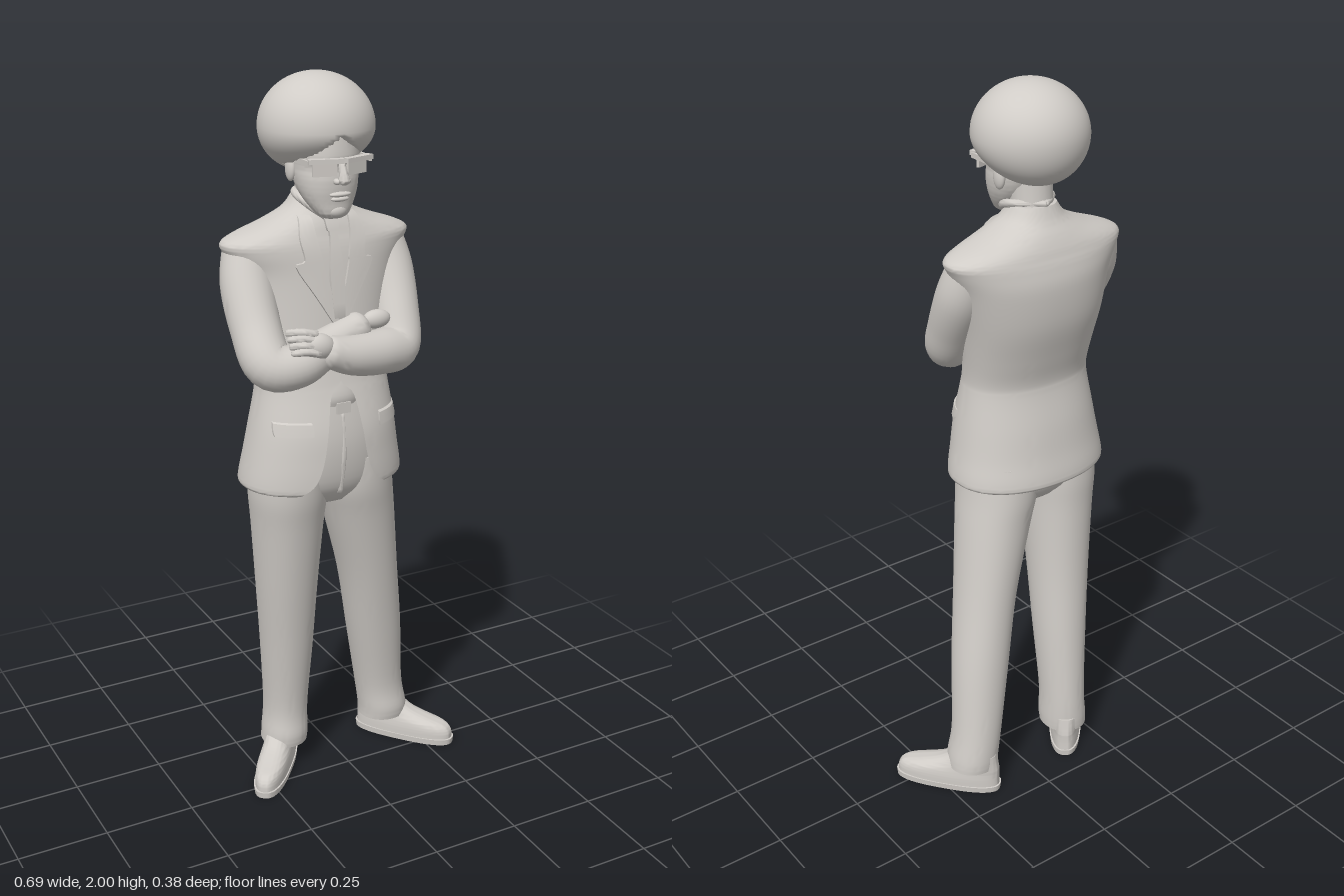
import * as THREE from 'three';
import { mergeVertices, toCreasedNormals } from 'three/addons/utils/BufferGeometryUtils.js';

const clay = new THREE.MeshStandardMaterial({ color: 0xd0ccc7, side: THREE.DoubleSide });
clay.name = 'warm grey clay';
const CX = -0.073; // centre line of head and torso

function part(group, name, geo) {
  const m = new THREE.Mesh(geo, clay);
  m.name = name;
  group.add(m);
  return m;
}

// Grid surface from point(i, j), columns i and rows j
function grid(nu, nv, point, crease = 1) {
  const pos = [], idx = [];
  for (let j = 0; j <= nv; j++) for (let i = 0; i <= nu; i++) pos.push(...point(i, j));
  for (let j = 0; j < nv; j++) for (let i = 0; i < nu; i++) {
    const a = j * (nu + 1) + i, b = a + nu + 1;
    idx.push(a, a + 1, b + 1, a, b + 1, b);
  }
  let g = new THREE.BufferGeometry();
  g.setAttribute('position', new THREE.Float32BufferAttribute(pos, 3));
  g.setIndex(idx);
  g = mergeVertices(g, 1e-5);
  return toCreasedNormals(g, crease);
}

// Smoothly subdivide rows of numbers
function smooth(rows, steps = 5) {
  const out = [];
  const at = (i) => rows[Math.min(Math.max(i, 0), rows.length - 1)];
  for (let i = 0; i < rows.length - 1; i++) for (let s = 0; s < steps; s++) {
    const t = s / steps;
    out.push(rows[i].map((b, k) => {
      const a = at(i - 1)[k], c = at(i + 1)[k], d = at(i + 2)[k];
      return b + 0.5 * t * (c - a + t * (2 * a - 5 * b + 4 * c - d + t * (3 * (b - c) + d - a)));
    }));
  }
  out.push(rows[rows.length - 1]);
  return out;
}

// Horizontal sections, bottom to top: [y, xMin, xMax, zMin, zMax, front gap angle]
function loft(rows, { power = 2.2, seg = 48, bottom = true, top = true } = {}) {
  const r = smooth(rows);
  const flat = ([y, a, b, c, d]) => [y, (a + b) / 2, (a + b) / 2, (c + d) / 2, (c + d) / 2, 0];
  if (bottom) r.unshift(flat(r[0]));
  if (top) r.push(flat(r[r.length - 1]));
  const bend = (v) => Math.sign(v) * Math.abs(v) ** (2 / power);
  return grid(seg, r.length - 1, (i, j) => {
    const [y, x0, x1, z0, z1, gap = 0] = r[j];
    const a = i === seg && gap < 1e-4 ? 0 : gap + (2 * Math.PI - 2 * gap) * i / seg;
    return [(x0 + x1) / 2 + (x1 - x0) / 2 * bend(Math.sin(a)), y, (z0 + z1) / 2 + (z1 - z0) / 2 * bend(Math.cos(a))];
  });
}

// Rounded limb through [x, y, z, radius] points
function limb(points, seg = 20) {
  const p = smooth(points, 6), n = p.length;
  const curve = new THREE.CatmullRomCurve3(p.map((q) => new THREE.Vector3(q[0], q[1], q[2])));
  const v = curve.points;
  let normal = new THREE.Vector3(0.31, 0.2, 0.93);
  const frames = v.map((q, i) => {
    const t = v[Math.min(i + 1, n - 1)].clone().sub(v[Math.max(i - 1, 0)]).normalize();
    normal = normal.clone().addScaledVector(t, -normal.dot(t)).normalize();
    return { t, n: normal, b: t.clone().cross(normal) };
  });
  const caps = 4;
  return grid(seg, n - 1 + 2 * caps, (i, j) => {
    const k = Math.min(Math.max(j - caps, 0), n - 1), f = frames[k];
    const over = j < caps ? j - caps : Math.max(j - caps - n + 1, 0);
    const c = over / caps * Math.PI / 2, r = p[k][3], a = (i % seg) / seg * Math.PI * 2;
    return v[k].clone().addScaledVector(f.t, r * 0.7 * Math.sin(c))
      .addScaledVector(f.n, r * Math.cos(c) * Math.cos(a))
      .addScaledVector(f.b, r * Math.cos(c) * Math.sin(a)).toArray();
  });
}

function ball(group, name, x, y, z, rx, ry, rz) {
  const m = part(group, name, new THREE.SphereGeometry(1, 24, 16));
  m.position.set(x, y, z);
  m.scale.set(rx, ry, rz);
  return m;
}

const JACKET = [
  [0.932, -0.300, 0.135, -0.165, 0.135, 0.60], [0.938, -0.310, 0.145, -0.176, 0.145, 0.52],
  [0.965, -0.308, 0.143, -0.174, 0.147, 0.36], [1.02, -0.298, 0.133, -0.163, 0.145, 0.27],
  [1.10, -0.283, 0.121, -0.150, 0.138, 0.22], [1.19, -0.266, 0.107, -0.131, 0.115, 0.15],
  [1.23, -0.264, 0.104, -0.130, 0.105, 0], [1.30, -0.268, 0.112, -0.148, 0.092, 0],
  [1.40, -0.280, 0.130, -0.174, 0.080, 0], [1.50, -0.295, 0.157, -0.181, 0.068, 0],
  [1.555, -0.325, 0.183, -0.172, 0.060, 0], [1.582, -0.334, 0.193, -0.163, 0.054, 0],
  [1.602, -0.300, 0.160, -0.156, 0.048, 0], [1.63, -0.220, 0.080, -0.142, 0.040, 0],
  [1.66, -0.160, 0.016, -0.122, 0.026, 0], [1.695, -0.132, -0.012, -0.106, 0.006, 0],
];
const dense = smooth(JACKET);

// Front surface of the jacket at x, y
function chest(x, y) {
  let j = dense.findIndex((r) => r[0] >= y);
  j = Math.max(j < 0 ? dense.length - 1 : j, 1);
  const t = Math.min((y - dense[j - 1][0]) / (dense[j][0] - dense[j - 1][0]), 1);
  const [, x0, x1, z0, z1] = dense[j].map((v, k) => dense[j - 1][k] + (v - dense[j - 1][k]) * t);
  const u = Math.min(Math.abs((x - (x0 + x1) / 2) / ((x1 - x0) / 2)), 1);
  return (z0 + z1) / 2 + (z1 - z0) / 2 * (1 - u ** 2.2) ** (1 / 2.2);
}

// Raised cloth strip lying on the jacket, rows of [y, inner, outer] from the centre line
function strip(rows, side, lift) {
  const r = smooth(rows, 4), nv = r.length - 1, nu = 8;
  return grid(nu, nv, (i, j) => {
    const u = Math.min(Math.max((i - 1) / (nu - 2), 0), 1);
    const x = CX + side * (r[j][1] + (r[j][2] - r[j][1]) * u);
    const edge = i === 0 || i === nu || j === 0 || j === nv;
    return [x, r[j][0], chest(x, r[j][0]) + (edge ? -0.004 : lift)];
  }, 0.6);
}

function buildHead(g) {
  part(g, 'neck', limb([[CX, 1.62, -0.05, 0.058], [CX, 1.70, -0.042, 0.056], [CX, 1.78, -0.03, 0.06]]));
  part(g, 'face', loft([
    [1.647, -0.098, -0.048, 0.030, 0.070], [1.658, -0.115, -0.031, 0.010, 0.083],
    [1.69, -0.137, -0.009, -0.030, 0.087], [1.72, -0.149, 0.003, -0.060, 0.092],
    [1.75, -0.154, 0.008, -0.080, 0.094], [1.775, -0.154, 0.008, -0.090, 0.092],
    [1.80, -0.155, 0.009, -0.095, 0.103], [1.86, -0.150, 0.004, -0.100, 0.098],
  ]));
  // Hair: full dome with a slanted underside and a peaked hairline
  const hair = new THREE.SphereGeometry(1, 72, 48), p = hair.attributes.position;
  for (let i = 0; i < p.count; i++) {
    const x = p.getX(i), y = p.getY(i), z = p.getZ(i);
    const depth = y > 0 ? 0.135 : 0.115 - 0.035 * z;
    const ny = 1.865 + y * depth;
    const line = 1.785 + 0.075 * (1 - Math.abs(x) / 0.6);
    const cut = z > 0 && Math.abs(x) < 0.6 ? Math.min(Math.max((line - ny) / 0.012, 0), 1) : 0;
    p.setXYZ(i, -0.077 + x * 0.149, ny, -0.031 + z * 0.151 - 0.05 * cut);
  }
  hair.computeVertexNormals();
  part(g, 'hair', hair);
  part(g, 'nose', limb([[CX, 1.79, 0.098, 0.009], [CX, 1.765, 0.108, 0.012], [CX, 1.748, 0.112, 0.015]]));
  ball(g, 'upperLip', CX, 1.712, 0.09, 0.03, 0.007, 0.012);
  ball(g, 'lowerLip', CX, 1.700, 0.088, 0.025, 0.007, 0.011);
  ball(g, 'chin', CX, 1.668, 0.073, 0.026, 0.018, 0.016);
  for (const s of [-1, 1]) {
    ball(g, 'nostril', CX + s * 0.014, 1.746, 0.1, 0.009, 0.008, 0.012);
    ball(g, 'ear', CX + s * 0.083, 1.765, -0.02, 0.012, 0.032, 0.02);
    // Glasses: lens, brow bar and temple
    const lens = part(g, 'lens', new THREE.BoxGeometry(0.062, 0.036, 0.008));
    lens.position.set(CX + s * 0.044, 1.778, 0.092);
    lens.rotation.y = s * 0.28;
    const bar = part(g, 'browBar', new THREE.BoxGeometry(0.088, 0.012, 0.02));
    bar.position.set(CX + s * 0.045, 1.799, 0.1);
    bar.rotation.y = s * 0.3;
    const temple = part(g, 'temple', new THREE.BoxGeometry(0.007, 0.014, 0.11));
    temple.position.set(CX + s * 0.086, 1.794, 0.035);
  }
}

function buildJacket(g) {
  part(g, 'jacket', loft(JACKET, { seg: 72, bottom: false }));
  const lapel = [[1.37, 0, 0.012], [1.45, 0.016, 0.06], [1.53, 0.036, 0.108], [1.545, 0.038, 0.085], [1.6, 0.048, 0.092], [1.655, 0.052, 0.078]];
  for (const s of [-1, 1]) {
    part(g, 'lapel', strip(lapel, s, 0.008));
    part(g, 'pocketFlap', strip([[1.095, 0.10, 0.185], [1.11, 0.098, 0.187], [1.135, 0.1, 0.185]], s, 0.008));
    part(g, 'shirtCollar', limb([[CX + s * 0.01, 1.645, 0.035, 0.01], [CX + s * 0.05, 1.68, 0.008, 0.012],
      [CX + s * 0.058, 1.70, -0.05, 0.01], [CX, 1.70, -0.1, 0.009]], 12));
  }
  part(g, 'tie', strip([[1.37, -0.014, 0.014], [1.5, -0.02, 0.02], [1.6, -0.011, 0.011], [1.615, -0.016, 0.016], [1.65, -0.02, 0.02]], 1, 0.009));
  // Folded arms, one forearm over the other
  part(g, 'leftArm', limb([[0.115, 1.56, -0.05, 0.062], [0.125, 1.48, -0.02, 0.068], [0.118, 1.38, 0.035, 0.064],
    [0.098, 1.298, 0.085, 0.061], [0.03, 1.295, 0.115, 0.059], [-0.06, 1.305, 0.135, 0.053], [-0.13, 1.325, 0.143, 0.042]], 28));
  part(g, 'rightArm', limb([[-0.26, 1.56, -0.06, 0.066], [-0.277, 1.48, -0.03, 0.07], [-0.284, 1.38, 0.03, 0.066],
    [-0.278, 1.302, 0.095, 0.064], [-0.21, 1.295, 0.122, 0.056], [-0.12, 1.325, 0.1, 0.05], [-0.02, 1.36, 0.085, 0.042]], 28));
  ball(g, 'leftHand', -0.165, 1.347, 0.148, 0.045, 0.034, 0.03).rotation.z = -0.25;
  for (let i = 0; i < 4; i++) {
    const y = 1.335 + i * 0.015;
    part(g, 'finger', limb([[-0.175, y, 0.168 - i * 0.006, 0.011], [-0.21, y + 0.008, 0.167 - i * 0.008, 0.0105], [-0.238, y + 0.004, 0.152 - i * 0.011, 0.009]], 10));
  }
  ball(g, 'rightHand', 0.035, 1.375, 0.085, 0.04, 0.025, 0.022);
}

function buildLegs(g) {
  part(g, 'trouserSeat', loft([[0.87, -0.17, 0.03, -0.11, 0.05], [0.93, -0.262, 0.11, -0.148, 0.095],
    [1.05, -0.26, 0.11, -0.138, 0.112], [1.17, -0.245, 0.09, -0.12, 0.1], [1.24, -0.235, 0.08, -0.11, 0.085]]));
  part(g, 'shirtFront', loft([[1.16, -0.15, 0.0, 0.0, 0.104], [1.19, -0.15, 0.0, 0.0, 0.108], [1.26, -0.15, 0.0, 0.0, 0.09]]));
  part(g, 'beltBuckle', new THREE.BoxGeometry(0.04, 0.03, 0.012)).position.set(CX, 1.155, 0.104);
  part(g, 'fly', limb([[CX, 0.91, 0.085, 0.008], [CX, 1.02, 0.106, 0.008], [CX, 1.14, 0.1, 0.007]], 10));
  part(g, 'rightLeg', loft([
    [0.075, -0.222, -0.092, -0.182, -0.04], [0.11, -0.220, -0.09, -0.184, -0.035], [0.2, -0.214, -0.09, -0.18, -0.037],
    [0.4, -0.230, -0.084, -0.166, -0.004], [0.6, -0.250, -0.082, -0.152, 0.033], [0.8, -0.268, -0.076, -0.148, 0.072],
    [0.9, -0.277, -0.07, -0.15, 0.094], [1.0, -0.272, -0.07, -0.145, 0.105]], { power: 2.1 }));
  part(g, 'leftLeg', loft([
    [0.075, 0.102, 0.245, -0.182, -0.04], [0.11, 0.100, 0.242, -0.184, -0.035], [0.2, 0.086, 0.226, -0.18, -0.037],
    [0.4, 0.046, 0.205, -0.166, -0.004], [0.6, 0.006, 0.174, -0.152, 0.033], [0.8, -0.05, 0.146, -0.148, 0.072],
    [0.9, -0.076, 0.13, -0.15, 0.094], [1.0, -0.076, 0.118, -0.145, 0.105]], { power: 2.1 }));
  // Shoes, toes turned out
  for (const s of [-1, 1]) {
    const shoe = new THREE.Group();
    shoe.name = s > 0 ? 'leftShoe' : 'rightShoe';
    part(shoe, 'sole', loft([[0, -0.046, 0.046, -0.153, 0.155], [0.018, -0.048, 0.048, -0.155, 0.157]], { power: 2.6 }));
    part(shoe, 'upper', loft([[0.016, -0.045, 0.045, -0.151, 0.152], [0.04, -0.045, 0.045, -0.15, 0.15],
      [0.058, -0.043, 0.043, -0.15, 0.132], [0.07, -0.041, 0.041, -0.15, 0.085],
      [0.088, -0.039, 0.039, -0.147, 0.028], [0.12, -0.038, 0.038, -0.142, -0.02]], { power: 2.4 }));
    shoe.position.set(s > 0 ? 0.226 : -0.205, 0, -0.066);
    shoe.rotation.y = s * 0.68;
    g.add(shoe);
  }
}

export function createModel() {
  const model = new THREE.Group();
  model.name = 'standingFigure';
  for (const [name, build] of [['head', buildHead], ['upperBody', buildJacket], ['legs', buildLegs]]) {
    const g = new THREE.Group();
    g.name = name;
    build(g);
    model.add(g);
  }
  return model;
}
